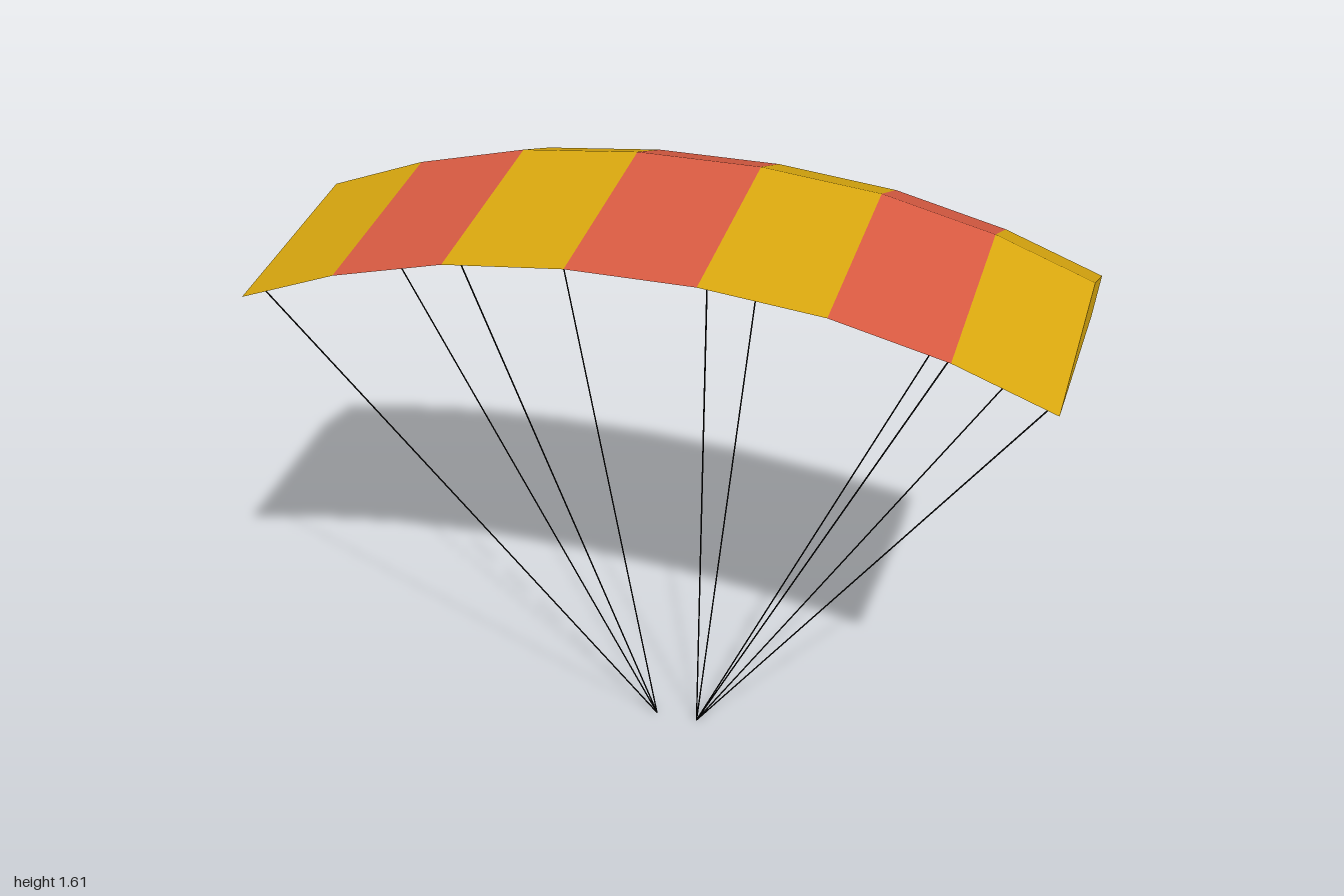
import * as THREE from 'three';

const gold = new THREE.MeshStandardMaterial({ color: 0xdaa80f });
gold.name = 'gold fabric';
const red = new THREE.MeshStandardMaterial({ color: 0xd95b42 });
red.name = 'red fabric';
const black = new THREE.MeshStandardMaterial({ color: 0x0a0a0a });
black.name = 'black cord';

// Wing section as [z, y below the ridge]: front edge, ridge, back edge, belly
const section = [[0.372, -0.06], [-0.19, 0], [-0.375, -0.07], [-0.19, -0.09]];
// Rib positions along the span as [x, ridge height]
const half = [[0.16, 1.612], [0.465, 1.58], [0.75, 1.51], [1, 1.416]];
const ribs = [...half.map(([x, y]) => [-x, y]).reverse(), ...half];

const ribPoints = ([x, y]) => section.map(([z, dy]) => new THREE.Vector3(x, y + dy, z));

// Flat-faced geometry from a list of triangles
function facets(triangles) {
  const geometry = new THREE.BufferGeometry().setFromPoints(triangles.flat());
  geometry.computeVertexNormals();
  return geometry;
}

// Skin between two neighbouring ribs
function panel(ribA, ribB) {
  const a = ribPoints(ribA), b = ribPoints(ribB), triangles = [];
  for (let i = 0; i < 4; i++) {
    const j = (i + 1) % 4;
    triangles.push([a[i], b[i], b[j]], [a[i], b[j], a[j]]);
  }
  return facets(triangles);
}

// Closed wing tip
function tip(rib, side) {
  const [a, b, c, d] = ribPoints(rib);
  return facets(side > 0 ? [[a, d, b], [b, d, c]] : [[a, b, d], [b, c, d]]);
}

// Thin straight cord between two points
function cord(from, to) {
  return new THREE.TubeGeometry(new THREE.LineCurve3(from, to), 1, 0.002, 5, false);
}

export function createModel() {
  const model = new THREE.Group();
  model.name = 'parachute';
  const add = (parent, name, geometry, material) => {
    const mesh = new THREE.Mesh(geometry, material);
    mesh.name = name;
    parent.add(mesh);
  };

  // Arched canopy of seven alternating panels
  const canopy = new THREE.Group();
  canopy.name = 'canopy';
  for (let i = 0; i < ribs.length - 1; i++) {
    add(canopy, `panel${i + 1}`, panel(ribs[i], ribs[i + 1]), i % 2 ? red : gold);
  }
  add(canopy, 'rightTip', tip(ribs[0], -1), gold);
  add(canopy, 'leftTip', tip(ribs[7], 1), gold);
  model.add(canopy);

  // Front and back cords from each rigged rib to one of two lower points
  const lines = new THREE.Group();
  lines.name = 'suspensionLines';
  for (const r of [0, 2, 4, 6, 7]) {
    const [x, y] = ribs[r];
    const foot = new THREE.Vector3(x < 0 ? -0.058 : 0.058, 0.002, 0);
    const topX = THREE.MathUtils.clamp(x, -0.998, 0.99);
    add(lines, `frontLine${r}`, cord(foot, new THREE.Vector3(topX, y - 0.065, 0.285)), black);
    add(lines, `backLine${r}`, cord(foot, new THREE.Vector3(topX, y - 0.076, -0.31)), black);
  }
  model.add(lines);
  return model;
}
